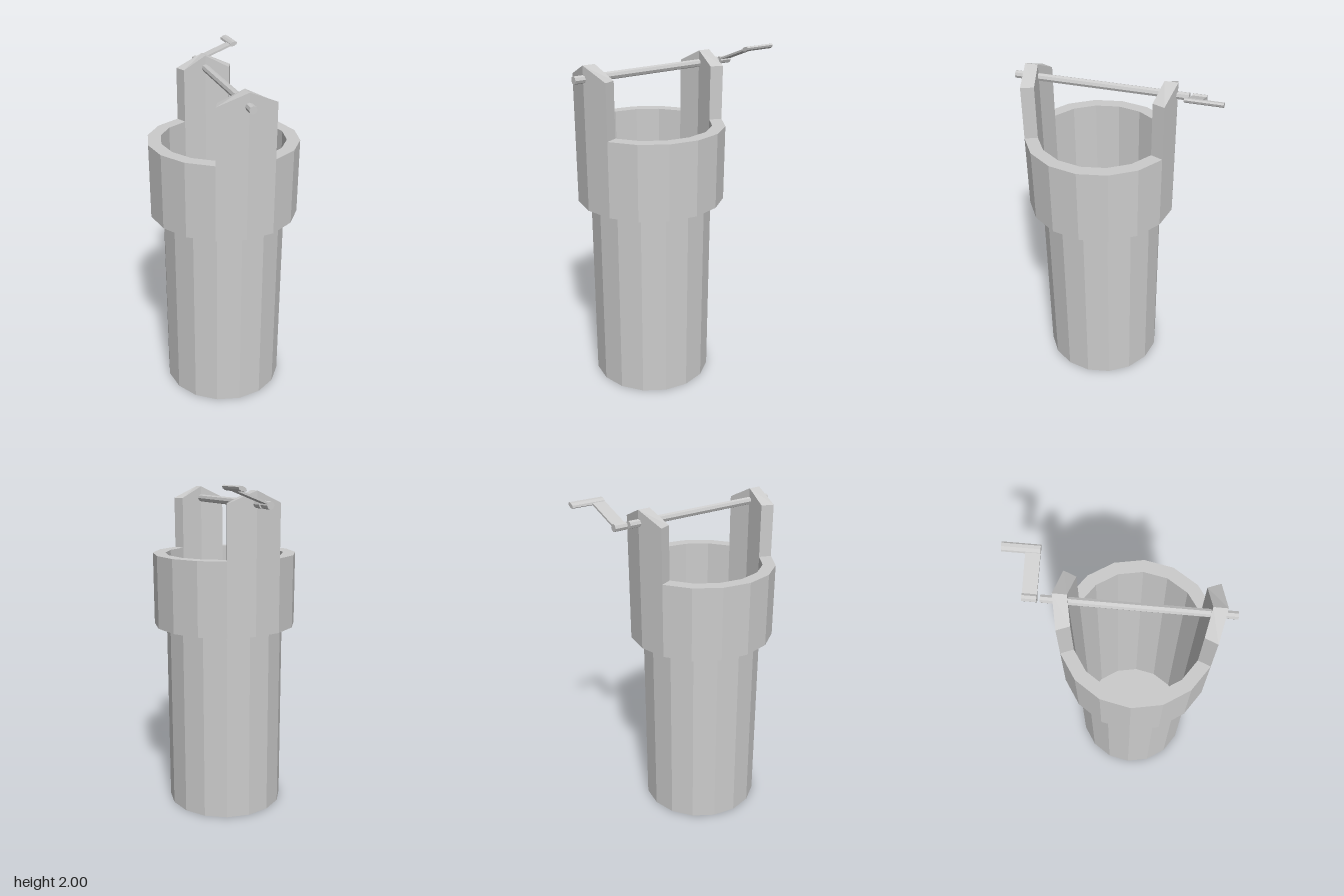
import * as THREE from 'three';

const SIDES = 16, R_OUT = 0.432, R_IN = 0.357;
const RING_Y = 1.15, RIM_Y = 1.585, EAVE_Y = 1.895, PEAK_Y = 1.965;
const AXLE_Y = 1.893, AXLE_R = 0.022;

const material = new THREE.MeshStandardMaterial({
  color: 0xcccccc, flatShading: true, side: THREE.DoubleSide,
});

function add(parent, name, geometry, x = 0, y = 0, z = 0) {
  const mesh = new THREE.Mesh(geometry, material);
  mesh.name = name;
  mesh.position.set(x, y, z);
  parent.add(mesh);
  return mesh;
}

// open sixteen-sided wall between two heights
function wall(radius, y0, y1) {
  return new THREE.CylinderGeometry(radius, radius, y1 - y0, SIDES, 1, true)
    .translate(0, (y0 + y1) / 2, 0);
}

// two-sided post continuing the ring wall upwards to a gabled top
function postGeometry() {
  const step = (Math.PI * 2) / SIDES;
  const sections = [-1, 0, 1].map((i) => {
    const s = Math.sin(i * step), c = Math.cos(i * step);
    const top = i === 0 ? PEAK_Y : EAVE_Y;
    return [[R_OUT, RIM_Y], [R_OUT, top], [R_IN, top], [R_IN, RIM_Y]]
      .map(([r, y]) => [r * s, y, r * c]);
  });
  const pos = [];
  const quad = (a, b, c, d) => pos.push(...a, ...b, ...c, ...a, ...c, ...d);
  for (let i = 0; i < 2; i++) {
    const a = sections[i], b = sections[i + 1];
    for (let k = 0; k < 3; k++) quad(a[k], b[k], b[k + 1], a[k + 1]);
  }
  quad(...sections[0]);
  quad(...[...sections[2]].reverse());
  const g = new THREE.BufferGeometry();
  g.setAttribute('position', new THREE.Float32BufferAttribute(pos, 3));
  g.computeVertexNormals();
  return g;
}

// octagonal rod along z
function rod(radius, z0, z1) {
  return new THREE.CylinderGeometry(radius, radius, z1 - z0, 8)
    .rotateX(Math.PI / 2).translate(0, 0, (z0 + z1) / 2);
}

export function createModel() {
  const model = new THREE.Group();
  model.name = 'well';

  // shaft, collar and rim share one axis, set forward of the centre
  const well = new THREE.Group();
  well.name = 'wellBody';
  well.position.z = 0.11;
  model.add(well);

  add(well, 'shaftWall', wall(R_IN, 0, RIM_Y));
  add(well, 'shaftFloor', new THREE.CircleGeometry(R_IN, SIDES).rotateX(Math.PI / 2));
  add(well, 'collarWall', wall(R_OUT, RING_Y, RIM_Y));

  // rim arcs between the posts, and the posts themselves
  const arc = Math.PI * 0.75;
  for (const turn of [0, Math.PI]) {
    const rim = new THREE.RingGeometry(R_IN, R_OUT, 6, 1, -arc / 2, arc);
    add(well, 'rim', rim.rotateX(-Math.PI / 2), 0, RIM_Y, 0).rotation.y = turn;
    add(well, 'post', postGeometry()).rotation.y = turn;
  }

  // axle across the well
  add(model, 'axle', rod(AXLE_R, -0.385, 0.6), 0, AXLE_Y, 0);

  // crank behind the back post: hub, flat sloping arm, flattened grip
  const crank = new THREE.Group();
  crank.name = 'crank';
  model.add(crank);
  add(crank, 'crankHub', rod(AXLE_R, -0.478, -0.402), 0, AXLE_Y, 0);

  const from = new THREE.Vector2(0.012, 1.903), to = new THREE.Vector2(0.21, 1.98);
  const mid = from.clone().add(to).multiplyScalar(0.5);
  const arm = add(crank, 'crankArm',
    new THREE.BoxGeometry(from.distanceTo(to), 0.011, 0.076), mid.x, mid.y, -0.44);
  arm.rotation.z = to.clone().sub(from).angle();

  const grip = rod(1, -0.6, -0.402).scale(0.025, 0.013, 1).rotateZ(0.39);
  add(crank, 'crankGrip', grip, 0.223, 1.985, 0);

  return model;
}
